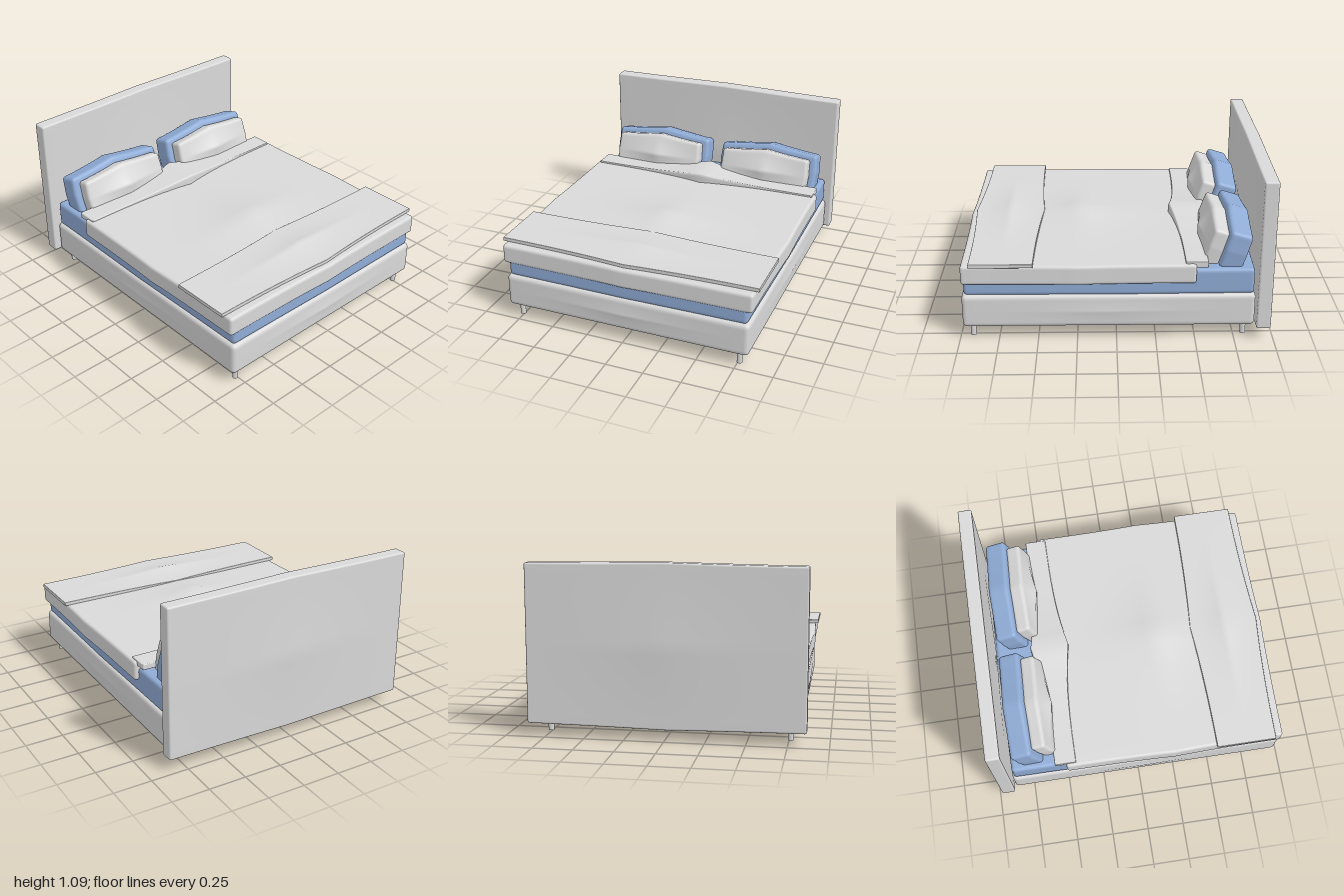
import * as THREE from 'three';
import { mergeVertices } from 'three/addons/utils/BufferGeometryUtils.js';

const grey = new THREE.MeshStandardMaterial({ color: 0xd9d9d9 });
grey.name = 'light grey fabric';
const blue = new THREE.MeshStandardMaterial({ color: 0x90acd6 });
blue.name = 'soft blue fabric';

// Rounded box whose faces swell towards their middles.
// size: full dimensions, r: edge radius, swell: bulge per axis, p: sharpness of the bulge
function cushion(size, r, swell, p) {
  const n = 26, k = 3;
  const half = size.map((s) => s / 2);
  let g = new THREE.BoxGeometry(2, 2, 2, n, n, n);
  g.deleteAttribute('uv');
  g.deleteAttribute('normal');
  g = mergeVertices(g, 1e-4);
  const pos = g.attributes.position;

  // gather k rows of vertices in each rounded edge, spread the rest evenly
  const spread = (t, h) => {
    const i = Math.round(((Math.abs(t)) * n) / 2);
    const flat = n / 2 - k;
    const d = i <= flat ? ((h - r) * i) / flat : h - r + (r * (i - flat)) / k;
    return Math.sign(t) * d;
  };
  const peak = (t) => Math.pow(Math.max(0, 1 - Math.abs(t)), p);

  for (let i = 0; i < pos.count; i++) {
    const v = [pos.getX(i), pos.getY(i), pos.getZ(i)].map((t, a) => spread(t, half[a]));
    const inner = v.map((c, a) => THREE.MathUtils.clamp(c, r - half[a], half[a] - r));
    const off = new THREE.Vector3(...v.map((c, a) => c - inner[a]));
    if (off.lengthSq() > 0) off.setLength(r);
    const q = off.toArray().map((c, a) => c + inner[a]);
    const s = q.map((c, a) => c / half[a]);
    // thin directions do not taper the bulge, so slab edges curve as well
    const w = s.map((t, a) => (half[a] < 0.1 ? 1 : peak(t)));
    const out = q.map((c, a) => c + swell[a] * s[a] * w[(a + 1) % 3] * w[(a + 2) % 3]);
    pos.setXYZ(i, ...out);
  }
  g.computeVertexNormals();
  return g;
}

export function createModel() {
  const bed = new THREE.Group();
  bed.name = 'bed';

  const add = (name, geometry, material, x, y, z) => {
    const m = new THREE.Mesh(geometry, material);
    m.name = name;
    m.position.set(x, y, z);
    bed.add(m);
    return m;
  };
  // box given by its limits along y and z, centred on x
  const slab = (name, mat, width, [y0, y1], [z0, z1], r, swell, p) =>
    add(name, cushion([width, y1 - y0, z1 - z0], r, swell, p), mat, 0, (y0 + y1) / 2, (z0 + z1) / 2);

  // frame and mattress
  slab('headboard', grey, 1.73, [0.08, 1.08], [-0.98, -0.888], 0.012, [0, 0.012, 0.02], 1.5);
  slab('base', grey, 1.66, [0.085, 0.31], [-0.88, 0.98], 0.03, [0.01, 0.02, 0.012], 2);
  slab('mattress', blue, 1.63, [0.305, 0.48], [-0.87, 0.965], 0.025, [0.008, 0.008, 0.008], 1.5);

  // bedding
  slab('duvet', grey, 1.695, [0.395, 0.525], [-0.5, 0.975], 0.02, [0.012, 0.058, 0.015], 2.7);
  slab('duvetFold', grey, 1.65, [0.497, 0.537], [-0.575, -0.432], 0.006, [0, 0.055, 0.06], 3);
  slab('footThrow', grey, 1.74, [0.523, 0.549], [0.52, 0.92], 0.004, [0, 0.03, 0.035], 2.2);

  // two pillows on each side, leaning back on the headboard
  const backPillow = cushion([0.72, 0.26, 0.145], 0.025, [0.008, 0.042, 0.015], 1.3);
  const frontPillow = cushion([0.64, 0.25, 0.1], 0.022, [0.006, 0.032, 0.045], 1.4);
  for (const side of [-1, 1]) {
    const label = side > 0 ? 'Left' : 'Right';
    add('backPillow' + label, backPillow, blue, side * 0.417, 0.573, -0.75).rotation.x = -0.3;
    add('frontPillow' + label, frontPillow, grey, side * 0.414, 0.582, -0.628).rotation.x = -0.32;
  }

  // legs
  const leg = new THREE.CylinderGeometry(0.018, 0.018, 0.1, 20);
  for (const x of [-0.76, 0.76]) {
    for (const z of [0.92, -0.815]) add('leg', leg, grey, x, 0.05, z);
  }
  return bed;
}
